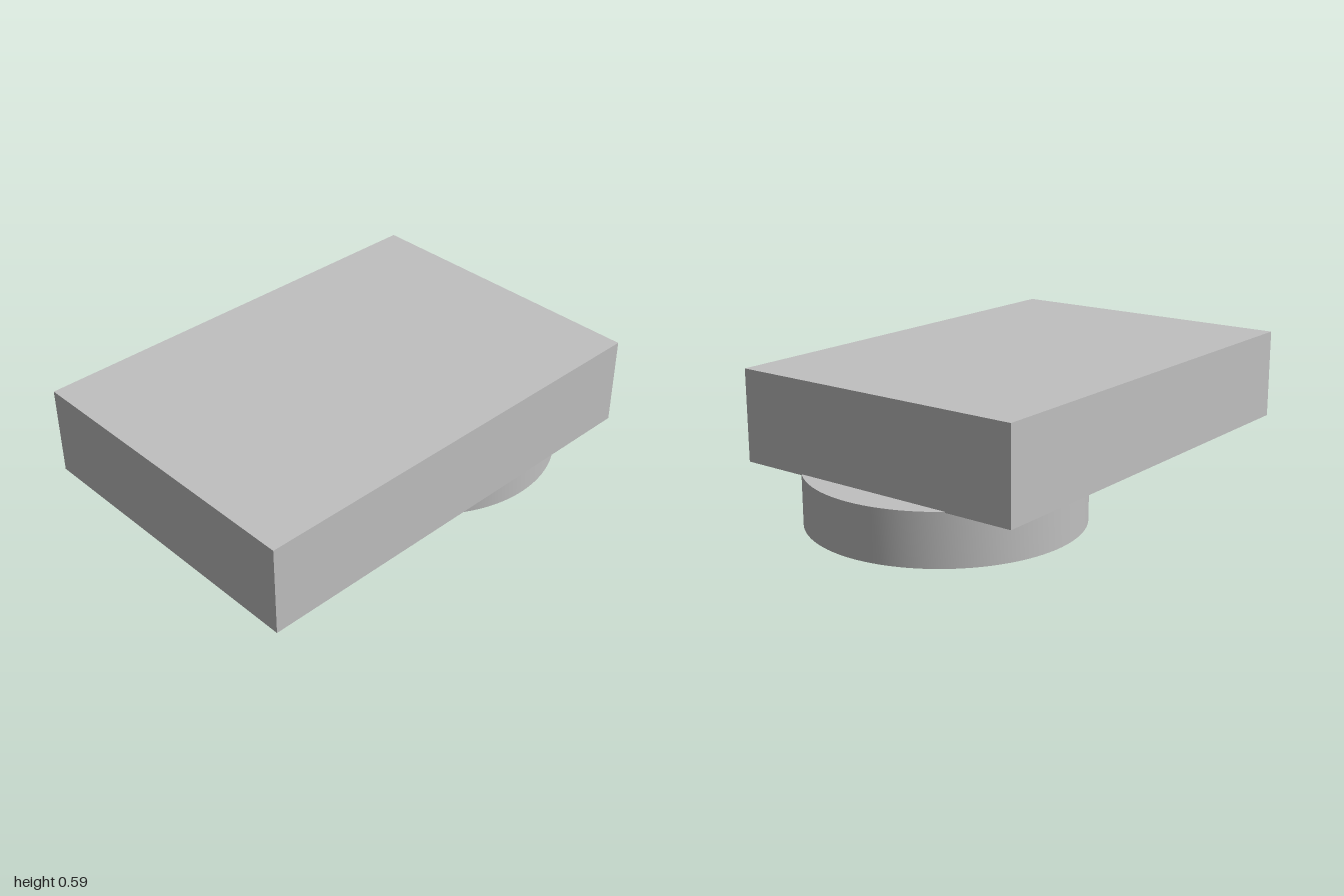
import * as THREE from 'three';
import { toCreasedNormals } from 'three/addons/utils/BufferGeometryUtils.js';

export function createModel() {
  const model = new THREE.Group();
  const grey = new THREE.MeshStandardMaterial({ color: 0xc0c0c0 });
  grey.name = 'plain grey';

  const add = (name, geometry, x, y, z = 0) => {
    const mesh = new THREE.Mesh(geometry, grey);
    mesh.name = name;
    mesh.position.set(x, y, z);
    model.add(mesh);
  };

  const discX = 0.44, discRadius = 0.56, discHeight = 0.215;
  const boreRadius = 0.197, boreDepth = 0.095;
  const boltRadius = 0.041, boltCircle = 0.347;

  // Rectangular block
  add('block', new THREE.BoxGeometry(1.87, 0.378, 1.3), -0.065, 0.4);

  // Flange disc with a central bore and four bolt holes
  const outline = new THREE.Shape().absarc(0, 0, discRadius, 0, Math.PI * 2, false);
  const addHole = (x, y, r) =>
    outline.holes.push(new THREE.Path().absarc(x, y, r, 0, Math.PI * 2, true));
  addHole(0, 0, boreRadius);
  for (let i = 0; i < 4; i++) {
    const a = (i * Math.PI) / 2;
    addHole(Math.cos(a) * boltCircle, Math.sin(a) * boltCircle, boltRadius);
  }
  const disc = new THREE.ExtrudeGeometry(outline, {
    depth: discHeight, bevelEnabled: false, curveSegments: 48,
  });
  disc.rotateX(-Math.PI / 2);
  add('flangeDisc', toCreasedNormals(disc, Math.PI / 5), discX, 0);

  // Floor of the blind central bore
  const floor = new THREE.CircleGeometry(boreRadius, 48);
  floor.rotateX(Math.PI / 2);
  add('boreFloor', floor, discX, boreDepth);

  return model;
}
